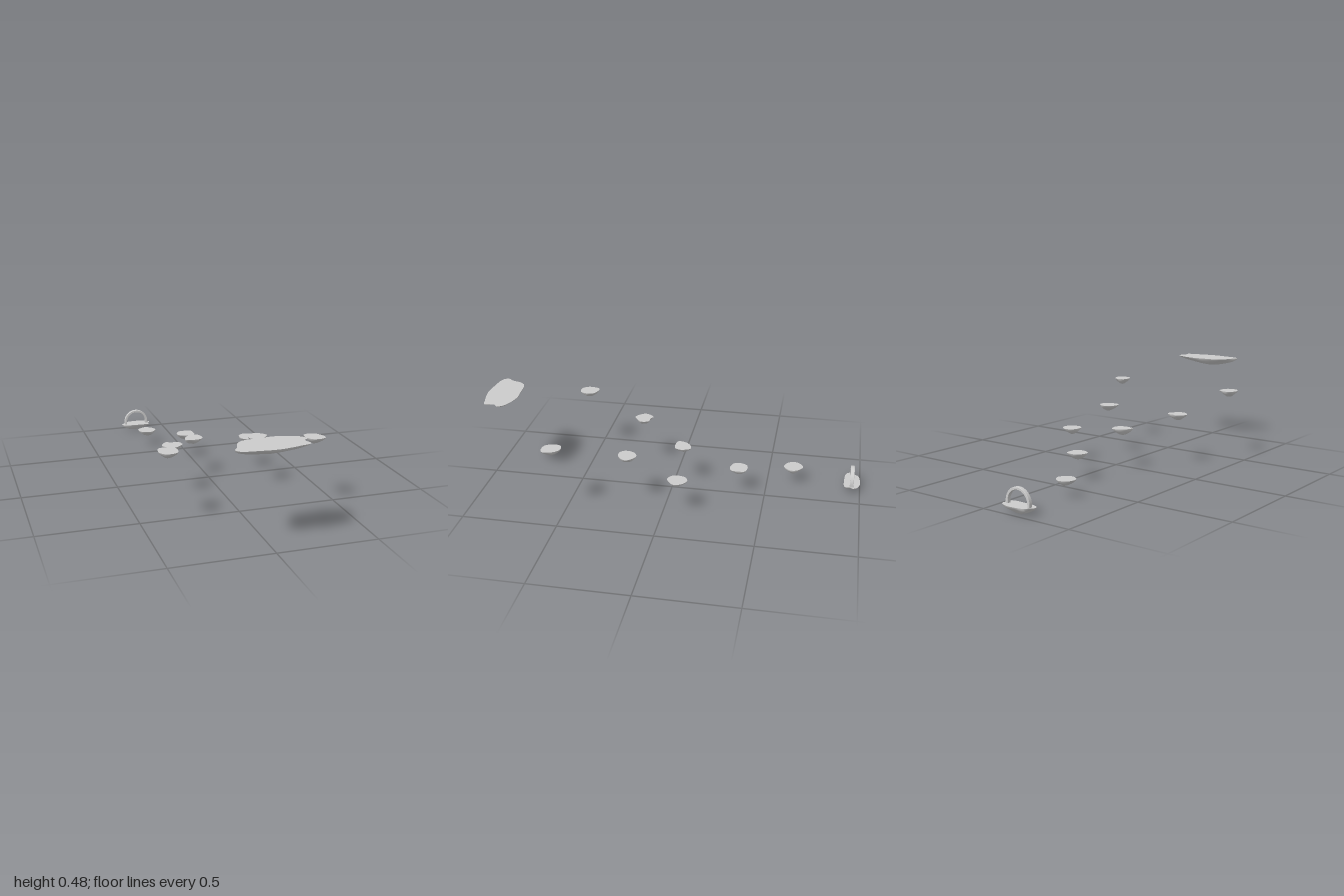
import * as THREE from 'three';

const material = new THREE.MeshStandardMaterial({ color: 0xcccccc });

// Underside profile: [share of the outline's size, share of the depth]
const PROFILE = [[1, 0], [0.96, 0.17], [0.82, 0.38], [0.57, 0.63], [0.3, 0.89], [0.13, 0.98]];

// Floating rock: flat top with a free outline (clockwise from above), lumpy tapering underside
function island(name, [x0, x1], [z0, z1], [bottom, top], keelX, outline, seed) {
  const points = [];
  for (let i = 0; i < outline.length; i += 2) points.push(new THREE.Vector3(outline[i], 0, outline[i + 1]));
  const n = outline.length * 2;
  const ring = new THREE.CatmullRomCurve3(points, true).getPoints(n).slice(0, n);

  // fit the outline to its footprint
  const box = new THREE.Box3().setFromPoints(ring);
  for (const p of ring) {
    p.x = THREE.MathUtils.mapLinear(p.x, box.min.x, box.max.x, x0, x1);
    p.z = THREE.MathUtils.mapLinear(p.z, box.min.z, box.max.z, z0, z1);
  }
  const cx = (x0 + x1) / 2, cz = (z0 + z1) / 2, depth = top - bottom;
  const pos = [], index = [];

  // flat top, with its own vertices so the rim stays sharp
  pos.push(cx, top, cz);
  for (const p of ring) pos.push(p.x, top, p.z);
  for (let i = 0; i < n; i++) index.push(0, 1 + (i + 1) % n, 1 + i);

  // underside rings
  const base = n + 1;
  for (const [s, d] of PROFILE) {
    const shift = (keelX - cx) * d;
    ring.forEach((p, i) => {
      const a = (i / n) * Math.PI * 2;
      const lump = 1 + (1 - s) * (0.2 * Math.sin(3 * a + seed) + 0.12 * Math.sin(5 * a + seed * 2.3));
      const sag = d * (1 - d) * 0.3 * Math.sin(4 * a + seed * 1.7);
      pos.push(cx + shift + (p.x - cx) * s * lump, top - depth * (d + sag), cz + (p.z - cz) * s * lump);
    });
  }
  for (let k = 0; k < PROFILE.length - 1; k++) {
    for (let i = 0; i < n; i++) {
      const j = (i + 1) % n, u = base + k * n, l = u + n;
      index.push(u + j, l + j, l + i, u + j, l + i, u + i);
    }
  }
  // closing tip
  const last = base + (PROFILE.length - 1) * n, tip = pos.length / 3;
  pos.push(keelX, bottom, cz);
  for (let i = 0; i < n; i++) index.push(last + (i + 1) % n, tip, last + i);

  const geometry = new THREE.BufferGeometry();
  geometry.setAttribute('position', new THREE.Float32BufferAttribute(pos, 3));
  geometry.setIndex(index);
  geometry.computeVertexNormals();
  const mesh = new THREE.Mesh(geometry, material);
  mesh.name = name;
  return mesh;
}

// Round stone arch with short straight legs
function gateArch() {
  const outer = 0.0715, inner = 0.058, leg = -0.02, width = 0.02;
  const shape = new THREE.Shape();
  shape.moveTo(outer, leg);
  shape.lineTo(outer, 0);
  shape.absarc(0, 0, outer, 0, Math.PI, false);
  shape.lineTo(-outer, leg);
  shape.lineTo(-inner, leg);
  shape.lineTo(-inner, 0);
  shape.absarc(0, 0, inner, Math.PI, 0, true);
  shape.lineTo(inner, leg);
  const geometry = new THREE.ExtrudeGeometry(shape, {
    depth: width - 0.004, curveSegments: 24, bevelSize: 0.0015, bevelOffset: -0.0015,
    bevelThickness: 0.002, bevelSegments: 1,
  });
  geometry.translate(0, 0, -(width - 0.004) / 2);
  const mesh = new THREE.Mesh(geometry, material);
  mesh.name = 'gateArch';
  mesh.position.set(-0.176, 0.0505, -0.955);
  return mesh;
}

export function createModel() {
  const group = new THREE.Group();
  group.name = 'floatingIslands';

  // start island with the arch
  group.add(island('startIsland', [-0.267, -0.09], [-1, -0.913], [0, 0.038], -0.185,
    [6, 2, 14, 0, 24, 0, 31, 3, 33, 7, 31, 10, 31, 15, 17, 16, 3, 14, 0, 10, 3, 6], 1));
  group.add(gateArch());

  // stepping stones, climbing towards the front
  group.add(island('stone1', [-0.234, -0.133], [-0.69, -0.587], [0.056, 0.091], -0.174,
    [10, 0, 17, 5, 19, 11, 16, 17, 11, 20, 4, 17, 1, 12, 2, 5], 2));
  group.add(island('stone2', [-0.077, 0.02], [-0.403, -0.31], [0.105, 0.141], -0.025,
    [4, 1, 11, 0, 17, 2, 18, 9, 17, 16, 10, 18, 2, 15, 0, 9], 3));
  group.add(island('stone3', [-0.123, -0.023], [-0.094, -0.003], [0.183, 0.218], -0.078,
    [7, 2, 15, 0, 18, 5, 19, 11, 16, 16, 7, 17, 1, 15, 2, 8], 4));
  group.add(island('stone4', [0.199, 0.298], [-0.124, -0.019], [0.15, 0.185], 0.243,
    [9, 0, 16, 5, 18, 12, 14, 17, 7, 20, 1, 16, 0, 9, 2, 3], 5));
  group.add(island('stone5', [-0.31, -0.204], [0.157, 0.256], [0.242, 0.276], -0.257,
    [7, 0, 11, 2, 19, 3, 21, 10, 17, 14, 10, 18, 3, 14, 0, 9, 3, 3], 6));
  group.add(island('stone6', [0.148, 0.254], [0.15, 0.247], [0.242, 0.276], 0.203,
    [10, 0, 16, 3, 20, 9, 13, 17, 5, 18, 1, 15, 0, 10, 3, 3], 7));
  group.add(island('stone7', [-0.416, -0.321], [0.494, 0.596], [0.332, 0.367], -0.37,
    [7, 0, 16, 4, 17, 11, 14, 18, 5, 19, 0, 13, 0, 7, 2, 1], 8));
  group.add(island('stone8', [0.318, 0.413], [0.5, 0.597], [0.332, 0.367], 0.363,
    [8, 0, 13, 2, 17, 8, 18, 15, 13, 18, 4, 17, 0, 10, 1, 2], 9));

  // large goal island
  group.add(island('goalIsland', [-0.183, 0.176], [0.824, 1], [0.441, 0.484], -0.025,
    [7, 9, 13, 3, 30, 1, 43, 0, 56, 3, 65, 8, 67, 13, 63, 17, 65, 26, 56, 29, 36, 33, 20, 32, 3, 29, 0, 24, 4, 18], 10));
  return group;
}
